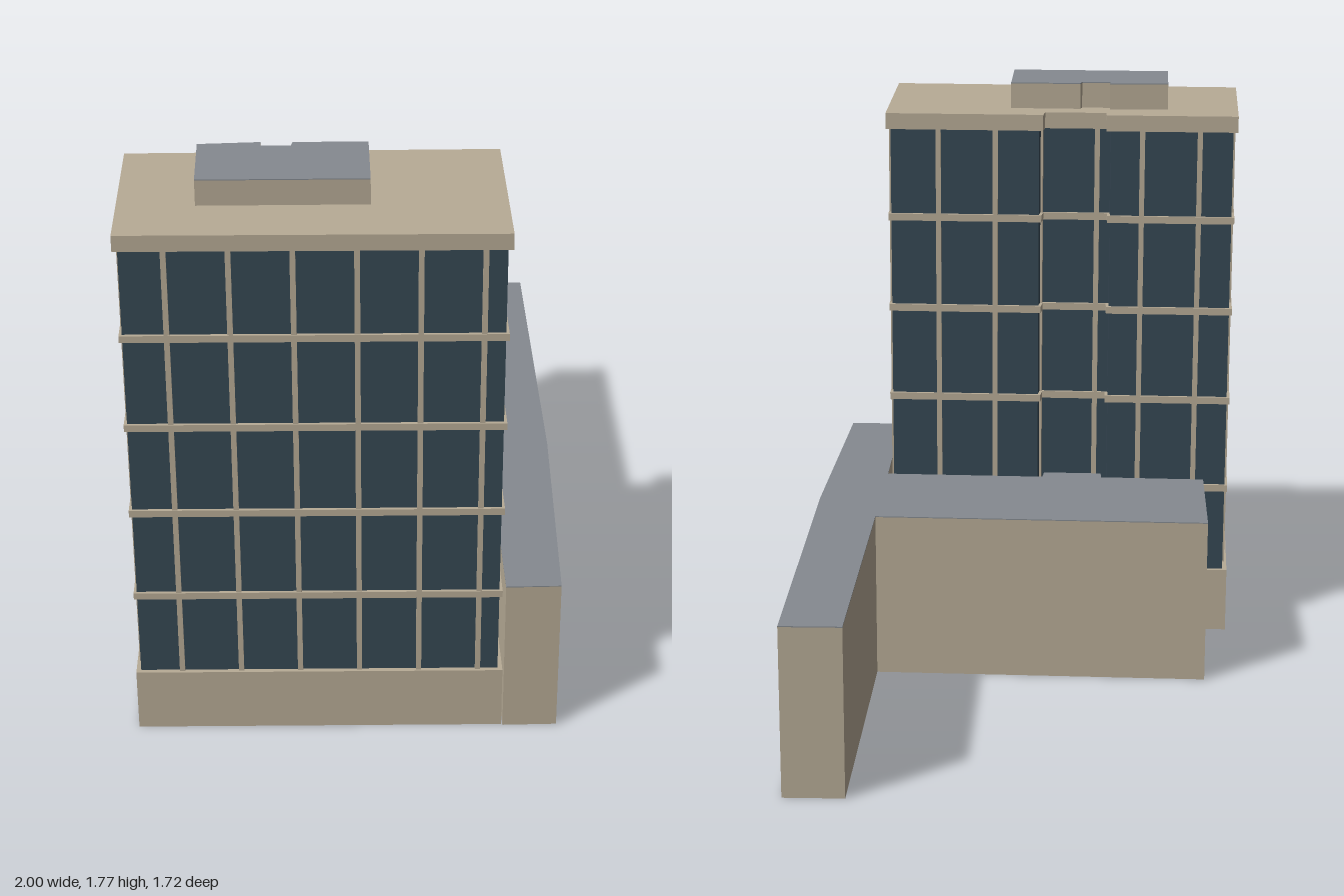
import * as THREE from 'three';

// Plan outlines as [x, z], all running the same way round
const TOWER = [
  [-1, 0.243], [-0.035, 0.778], [0.21, 0.308], [-0.22, 0.075],
  [-0.245, 0.112], [-0.412, 0.022], [-0.395, -0.013], [-0.752, -0.205],
];
const PENTHOUSE = [
  [-0.72, 0.195], [-0.29, 0.43], [-0.18, 0.222], [-0.37, 0.118],
  [-0.385, 0.136], [-0.462, 0.094], [-0.45, 0.073], [-0.613, -0.005],
];

// Move every edge of an outline outward by d, with mitred corners
function offset(pts, d) {
  const n = pts.length;
  const normal = (a, b) => {
    const dx = b[0] - a[0], dz = b[1] - a[1], l = Math.hypot(dx, dz);
    return [-dz / l, dx / l];
  };
  return pts.map((p, i) => {
    const a = normal(pts[(i + n - 1) % n], p);
    const b = normal(p, pts[(i + 1) % n]);
    const k = d / (1 + a[0] * b[0] + a[1] * b[1]);
    return [p[0] + (a[0] + b[0]) * k, p[1] + (a[1] + b[1]) * k];
  });
}

// Upright prism over an outline, from y0 to y1
function prism(name, pts, y0, y1, material) {
  const shape = new THREE.Shape(pts.map(([x, z]) => new THREE.Vector2(x, -z)));
  const geo = new THREE.ExtrudeGeometry(shape, { depth: y1 - y0, bevelEnabled: false });
  geo.rotateX(-Math.PI / 2);
  geo.translate(0, y0, 0);
  const mesh = new THREE.Mesh(geo, material);
  mesh.name = name;
  return mesh;
}

export function createModel() {
  const stone = new THREE.MeshStandardMaterial({ color: 0xb7ab96 });
  stone.name = 'stone';
  const roofing = new THREE.MeshStandardMaterial({ color: 0x858a90 });
  roofing.name = 'roofing';
  const glass = new THREE.MeshStandardMaterial({ color: 0x364854 });
  glass.name = 'glass';

  const model = new THREE.Group();
  model.name = 'officeBuilding';

  // Low podium with its long wing, wrapped round the tower
  const hug = offset(TOWER, 0.004);
  const podium = [
    [-0.487, -0.54], [-0.676, -0.172], hug[6], hug[5], hug[4], hug[3], hug[2], hug[1],
    [0.112, 0.86], [0.5, 0.177], [1, -0.78], [0.84, -0.86], [0.41, -0.057],
  ];
  model.add(prism('podiumWalls', podium, 0, 0.512, stone));
  model.add(prism('podiumRoof', podium, 0.512, 0.515, roofing));

  // Tower base, glazing and roof slab
  const facade = offset(TOWER, -0.014);
  model.add(prism('towerBase', TOWER, 0, 0.205, stone));
  model.add(prism('towerGlazing', facade, 0.205, 1.64, glass));
  model.add(prism('towerRoofSlab', TOWER, 1.64, 1.69, stone));

  // Floor bands
  const bandLine = offset(facade, 0.009);
  [0.482, 0.775, 1.067, 1.36].forEach((y) => {
    model.add(prism('floorBand', bandLine, y - 0.011, y + 0.011, stone));
  });

  // Mullions evenly spaced round the whole perimeter
  const mullions = new THREE.Group();
  mullions.name = 'mullions';
  const edges = facade.map((a, i) => {
    const b = facade[(i + 1) % facade.length];
    return { a, b, length: Math.hypot(b[0] - a[0], b[1] - a[1]) };
  });
  const perimeter = edges.reduce((sum, e) => sum + e.length, 0);
  const mullionGeo = new THREE.BoxGeometry(0.016, 1.435, 0.014);
  for (let i = 0; i < 18; i++) {
    let s = 0.125 + (i * perimeter) / 18;
    let k = 0;
    while (k < edges.length - 1 && s > edges[k].length) s -= edges[k++].length;
    const { a, b, length } = edges[k];
    const t = s / length;
    const m = new THREE.Mesh(mullionGeo, stone);
    m.name = 'mullion';
    m.position.set(a[0] + (b[0] - a[0]) * t, 0.9225, a[1] + (b[1] - a[1]) * t);
    m.rotation.y = -Math.atan2(b[1] - a[1], b[0] - a[0]);
    mullions.add(m);
  }
  model.add(mullions);

  // Rooftop plant room
  model.add(prism('penthouseWalls', PENTHOUSE, 1.69, 1.768, stone));
  model.add(prism('penthouseRoof', PENTHOUSE, 1.768, 1.771, roofing));

  return model;
}
